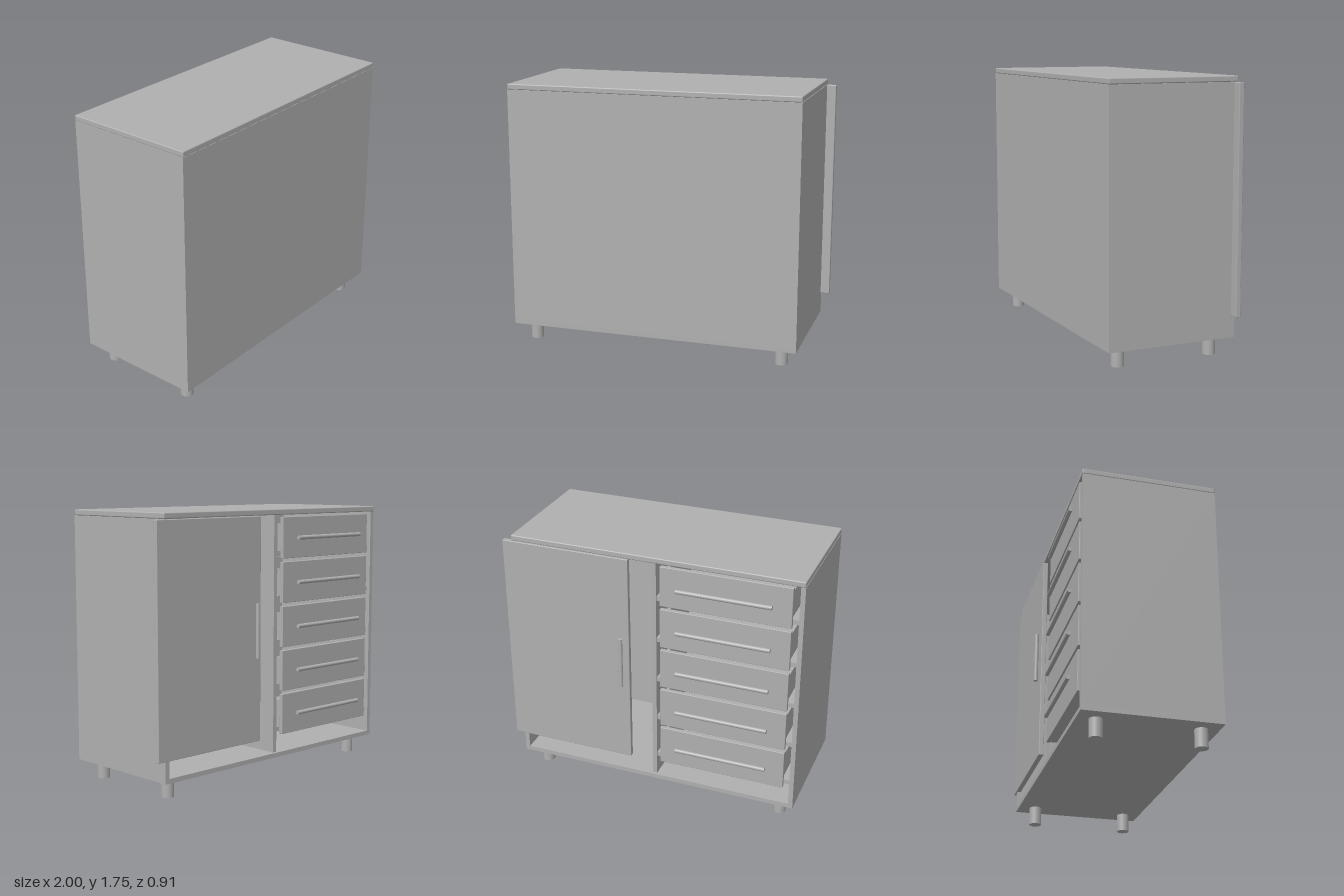
import * as THREE from 'three';
import { RoundedBoxGeometry } from 'three/addons/geometries/RoundedBoxGeometry.js';

const grey = new THREE.MeshStandardMaterial({ color: 0xb0b0b0 });
grey.name = 'light grey';

// Box given by its limits on each axis, optionally with softened edges
function panel(parent, name, [x0, x1], [y0, y1], [z0, z1], radius = 0) {
  const size = [x1 - x0, y1 - y0, z1 - z0];
  const geometry = radius
    ? new RoundedBoxGeometry(...size, 2, radius)
    : new THREE.BoxGeometry(...size);
  const mesh = new THREE.Mesh(geometry, grey);
  mesh.name = name;
  mesh.position.set((x0 + x1) / 2, (y0 + y1) / 2, (z0 + z1) / 2);
  parent.add(mesh);
  return mesh;
}

function rod(parent, name, radius, length, x, y, z, horizontal = false) {
  const mesh = new THREE.Mesh(new THREE.CylinderGeometry(radius, radius, length, 32), grey);
  mesh.name = name;
  mesh.position.set(x, y, z);
  if (horizontal) mesh.rotation.z = Math.PI / 2;
  parent.add(mesh);
}

function createDrawer(y) {
  const drawer = new THREE.Group();
  drawer.name = 'drawer';
  const low = y - 0.115, high = y + 0.09, depth = [-0.387, 0.38];
  panel(drawer, 'drawerFront', [-0.927, -0.08], [y - 0.133, y + 0.135], [-0.415, -0.387], 0.003);
  // Open tray behind the front
  panel(drawer, 'drawerBottom', [-0.915, -0.09], [low, low + 0.02], depth);
  panel(drawer, 'drawerSide', [-0.915, -0.895], [low + 0.02, high], depth);
  panel(drawer, 'drawerSide', [-0.11, -0.09], [low + 0.02, high], depth);
  panel(drawer, 'drawerBack', [-0.895, -0.11], [low + 0.02, high], [0.36, 0.38]);
  // Runners fixed to the wall and the divider
  panel(drawer, 'runner', [-0.97, -0.915], [low, low + 0.03], [-0.385, 0.38]);
  panel(drawer, 'runner', [-0.09, -0.048], [low, low + 0.03], [-0.385, 0.38]);
  rod(drawer, 'drawerHandle', 0.0135, 0.615, -0.5025, y, -0.444, true);
  return drawer;
}

export function createModel() {
  const cabinet = new THREE.Group();
  cabinet.name = 'cabinet';

  // Carcass, open towards -z
  const wallY = [0.15, 1.713];
  panel(cabinet, 'top', [-1, 0.935], [1.713, 1.75], [-0.415, 0.455], 0.007);
  panel(cabinet, 'bottom', [-1, 0.935], [0.12, 0.15], [-0.412, 0.454]);
  panel(cabinet, 'sideWall', [-1, -0.97], wallY, [-0.412, 0.454]);
  panel(cabinet, 'sideWall', [0.905, 0.935], wallY, [-0.412, 0.454]);
  panel(cabinet, 'backWall', [-0.97, 0.905], wallY, [0.424, 0.454]);
  panel(cabinet, 'divider', [-0.048, -0.018], wallY, [-0.393, 0.424]);

  // Sliding door standing past the side wall
  panel(cabinet, 'door', [0.13, 0.995], [0.26, 1.71], [-0.42, -0.387], 0.004);
  rod(cabinet, 'doorHandle', 0.0135, 0.35, 0.18, 0.985, -0.444);

  for (let i = 0; i < 5; i++) cabinet.add(createDrawer(0.4 + i * 0.2907));

  for (const x of [-0.885, 0.82])
    for (const z of [-0.295, 0.343]) rod(cabinet, 'leg', 0.041, 0.12, x, 0.06, z);

  return cabinet;
}
